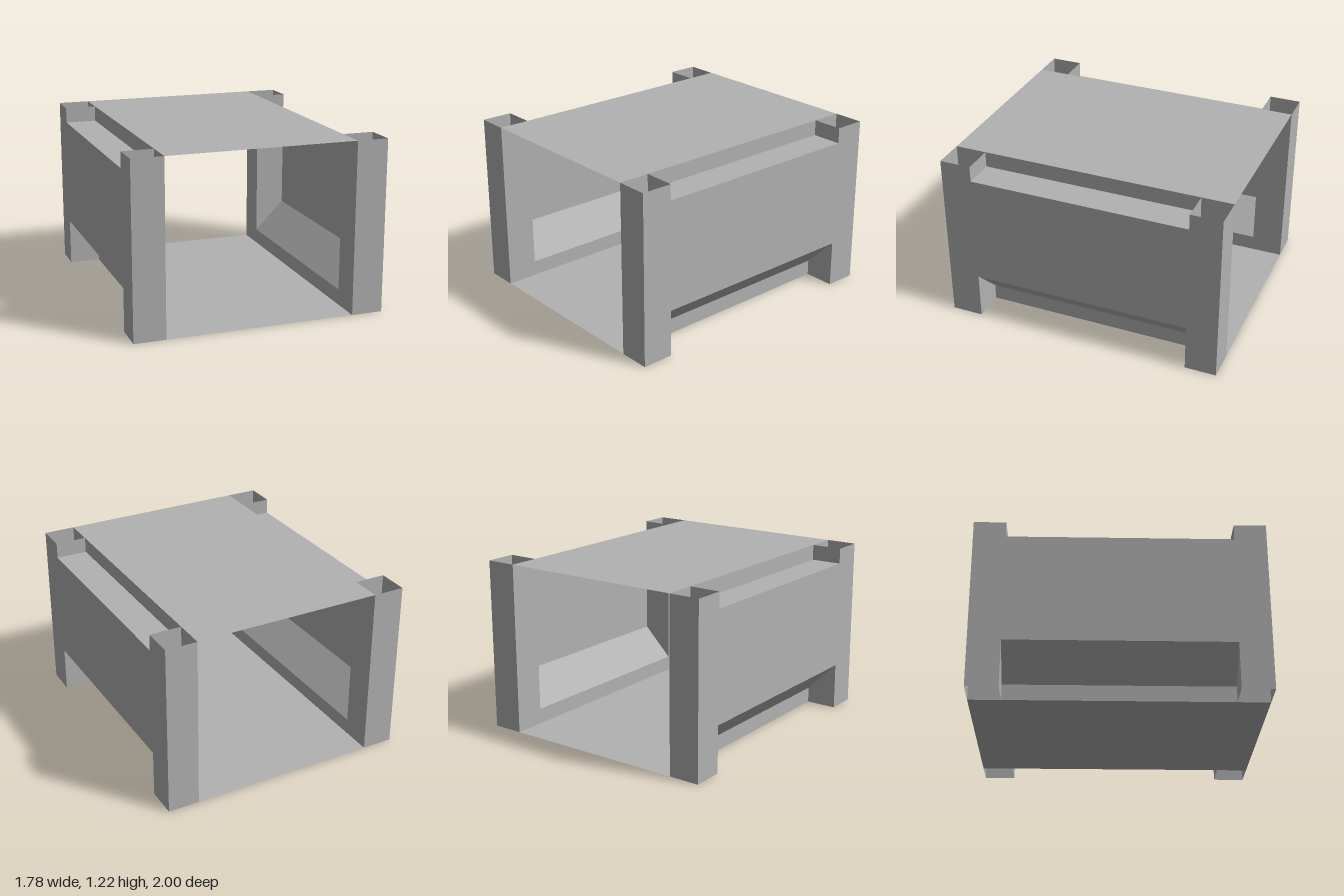
import * as THREE from 'three';

// All sizes fall on a grid of ninths
const U = 1 / 9;
const WIDTH_IN = 6 * U, WIDTH_OUT = 8 * U, HEIGHT = 11 * U, DEPTH = 1, POST = 7 * U;
const MID = (WIDTH_IN + WIDTH_OUT) / 2, GAP = WIDTH_OUT - WIDTH_IN;

export function createModel() {
  const grey = new THREE.MeshStandardMaterial({ color: 0xb2b2b2, side: THREE.DoubleSide });
  grey.name = 'plain grey';

  const add = (parent, name, geometry, x, y, z) => {
    const mesh = new THREE.Mesh(geometry, grey);
    mesh.name = name;
    mesh.position.set(x, y, z);
    parent.add(mesh);
  };
  const shapeOf = (points) => new THREE.Shape(points.map(([a, b]) => new THREE.Vector2(a, b)));
  const sheet = (w, d) => new THREE.PlaneGeometry(w, d).rotateX(-Math.PI / 2);

  const model = new THREE.Group();
  model.name = 'openFrame';

  // Thin sheets that close the top and the bottom
  add(model, 'topSheet', sheet(2 * WIDTH_IN, 2 * DEPTH), 0, HEIGHT, 0);
  add(model, 'bottomSheet', sheet(2 * WIDTH_IN, 2 * DEPTH).rotateX(Math.PI), 0, 0, 0);

  // One side, turned half round for the other
  for (const [name, turn] of [['leftSide', 0], ['rightSide', Math.PI]]) {
    const side = new THREE.Group();
    side.name = name;
    side.rotation.y = turn;
    model.add(side);

    // Outer wall with a shallow notch above and a deep one below
    const outer = shapeOf([
      [-DEPTH, 0], [-POST, 0], [-POST, 3 * U], [POST, 3 * U], [POST, 0], [DEPTH, 0],
      [DEPTH, HEIGHT], [POST, HEIGHT], [POST, 10 * U], [-POST, 10 * U], [-POST, HEIGHT], [-DEPTH, HEIGHT],
    ]);
    add(side, 'outerWall', new THREE.ShapeGeometry(outer).rotateY(Math.PI / 2), WIDTH_OUT, 0, 0);

    // Inner wall with a large window into the side bay
    const inner = shapeOf([[-DEPTH, 0], [DEPTH, 0], [DEPTH, HEIGHT], [-DEPTH, HEIGHT]]);
    inner.holes.push(shapeOf([[-POST, U], [-POST, 10 * U], [POST, 10 * U], [POST, U]]));
    add(side, 'innerWall', new THREE.ShapeGeometry(inner).rotateY(-Math.PI / 2), WIDTH_IN, 0, 0);

    // Bay roof and sloping bay floor
    add(side, 'bayRoof', sheet(GAP, 2 * POST), MID, 10 * U, 0);
    add(side, 'bayFloor', sheet(GAP * Math.SQRT2, 2 * POST).rotateZ(Math.PI / 4), MID, 2 * U, 0);

    // End walls of the hollow corner posts, open above and below
    for (const s of [1, -1]) {
      add(side, 'postEndWall', new THREE.PlaneGeometry(GAP, HEIGHT).rotateY(s > 0 ? 0 : Math.PI), MID, HEIGHT / 2, s * DEPTH);
      add(side, 'postBayWall', new THREE.PlaneGeometry(GAP, HEIGHT).rotateY(s > 0 ? Math.PI : 0), MID, HEIGHT / 2, s * POST);
    }
  }
  return model;
}
